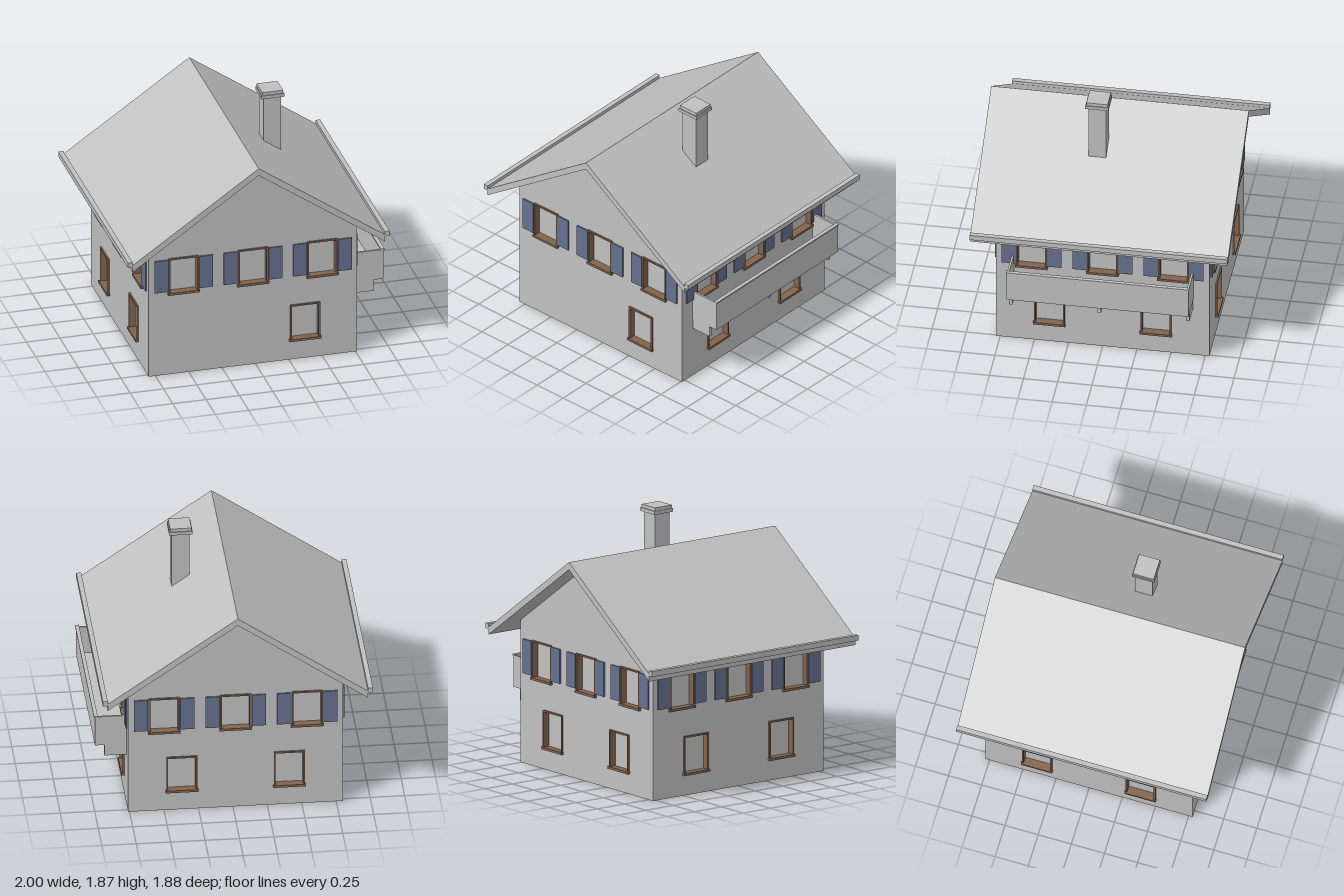
import * as THREE from 'three';

const plaster = new THREE.MeshStandardMaterial({ name: 'grey plaster', color: 0xc0c0c0, side: THREE.DoubleSide });
const wood = new THREE.MeshStandardMaterial({ name: 'brown wood', color: 0x83644d });
const blue = new THREE.MeshStandardMaterial({ name: 'shutter blue', color: 0x64718f });

const HALF = 0.78;          // half width of the square house
const CX = -0.02;           // middle of the house in x
const SLOPE = 0.693;
const PEAK = 1.595;         // underside of the ridge
const WIN_W = 0.225, WIN_H = 0.285;

function add(parent, name, geometry, material, x = 0, y = 0, z = 0) {
  const mesh = new THREE.Mesh(geometry, material);
  mesh.name = name;
  mesh.position.set(x, y, z);
  parent.add(mesh);
  return mesh;
}

// Box given by its limits on each axis
function box(parent, name, material, [x0, x1], [y0, y1], [z0, z1]) {
  return add(parent, name, new THREE.BoxGeometry(x1 - x0, y1 - y0, z1 - z0), material,
    (x0 + x1) / 2, (y0 + y1) / 2, (z0 + z1) / 2);
}

function polygon(points) {
  return new THREE.Shape(points.map(([x, y]) => new THREE.Vector2(x, y)));
}

function rect(w, h, cx = 0, cy = 0) {
  return polygon([[cx - w / 2, cy - h / 2], [cx + w / 2, cy - h / 2],
    [cx + w / 2, cy + h / 2], [cx - w / 2, cy + h / 2]]);
}

// Rectangular ring with a given border and depth
function ring(w, h, border, depth) {
  const shape = rect(w, h);
  shape.holes.push(rect(w - 2 * border, h - 2 * border));
  return new THREE.ExtrudeGeometry(shape, { depth, bevelEnabled: false });
}

// Recessed window with a sill and, if wanted, a pair of shutters
function windowUnit(parent, x, y, shutters) {
  const g = new THREE.Group();
  g.name = 'window';
  g.position.set(x, y, HALF);
  add(g, 'frame', ring(WIN_W, WIN_H, 0.012, 0.05), wood, 0, 0, -0.038);
  add(g, 'niche', ring(WIN_W + 0.004, WIN_H + 0.004, 0.002, 0.038), plaster, 0, 0, -0.039);
  add(g, 'pane', new THREE.PlaneGeometry(WIN_W + 0.004, WIN_H + 0.004), plaster, 0, 0, -0.039);
  box(g, 'sill', wood, [-0.118, 0.118], [-0.148, -0.13], [-0.01, 0.022]);
  if (shutters) {
    for (const s of [-1, 1]) {
      add(g, 'shutter', new THREE.BoxGeometry(0.102, 0.255, 0.011), blue, s * 0.168, 0.008, 0.009);
    }
  }
  parent.add(g);
}

// One side of the house, built facing +z and turned into place
function houseSide(parent, name, angle, gable, lowerWindows) {
  const g = new THREE.Group();
  g.name = name;
  g.rotation.y = angle;
  g.position.x = CX;
  const eave = PEAK - HALF * SLOPE;
  const outline = [[-HALF, 0], [HALF, 0], [HALF, eave]];
  if (gable) outline.push([0, PEAK]);
  outline.push([-HALF, eave]);
  const wall = polygon(outline);
  const windows = [-0.52, 0, 0.52].map((x) => [x, 0.79, true]);
  for (const x of lowerWindows) windows.push([x, 0.297, false]);
  for (const [x, y, shutters] of windows) {
    wall.holes.push(rect(WIN_W, WIN_H, x, y));
    windowUnit(g, x, y, shutters);
  }
  add(g, 'wall', new THREE.ShapeGeometry(wall), plaster, 0, 0, HALF);
  parent.add(g);
}

export function createModel() {
  const house = new THREE.Group();
  house.name = 'house';

  houseSide(house, 'frontSide', 0, true, [0.39]);
  houseSide(house, 'rightSide', Math.PI / 2, false, [-0.39, 0.39]);
  houseSide(house, 'backSide', Math.PI, true, [-0.39, 0.39]);
  houseSide(house, 'leftSide', -Math.PI / 2, false, [-0.39, 0.39]);

  // Pitched roof slab
  const span = 0.945, thick = 0.055, low = PEAK - span * SLOPE;
  const roof = polygon([[-span, low], [0, PEAK], [span, low],
    [span, low + thick], [0, PEAK + thick], [-span, low + thick]]);
  add(house, 'roof', new THREE.ExtrudeGeometry(roof, { depth: 1.885, bevelEnabled: false }),
    plaster, CX, 0, -0.9425);

  // Gutters along both eaves
  for (const s of [-1, 1]) {
    add(house, 'gutter', new THREE.BoxGeometry(0.036, 0.04, 1.885), plaster, CX + s * (span + 0.018), 1.0, 0);
  }

  // Chimney with a stepped cap
  box(house, 'chimney', plaster, [0.23, 0.36], [1.38, 1.825], [0.04, 0.17]);
  box(house, 'chimneyCapBase', plaster, [0.21, 0.38], [1.82, 1.845], [0.02, 0.19]);
  box(house, 'chimneyCapTop', plaster, [0.217, 0.373], [1.845, 1.87], [0.027, 0.183]);

  // Balcony on the +x side
  const balcony = new THREE.Group();
  balcony.name = 'balcony';
  house.add(balcony);
  box(balcony, 'floor', plaster, [0.76, 0.975], [0.5, 0.52], [-0.665, 0.665]);
  box(balcony, 'parapet', plaster, [0.975, 0.99], [0.5, 0.735], [-0.665, 0.665]);
  box(balcony, 'handrail', plaster, [0.97, 0.998], [0.733, 0.744], [-0.67, 0.67]);
  for (const s of [-1, 1]) {
    add(balcony, 'endPanel', new THREE.BoxGeometry(0.215, 0.215, 0.015), plaster, 0.8675, 0.6275, s * 0.6575);
  }
  for (const z of [-0.648, 0, 0.648]) {
    box(balcony, 'bracket', plaster, [0.76, 0.92], [0.41, 0.5], [z - 0.013, z + 0.013]);
  }

  return house;
}
